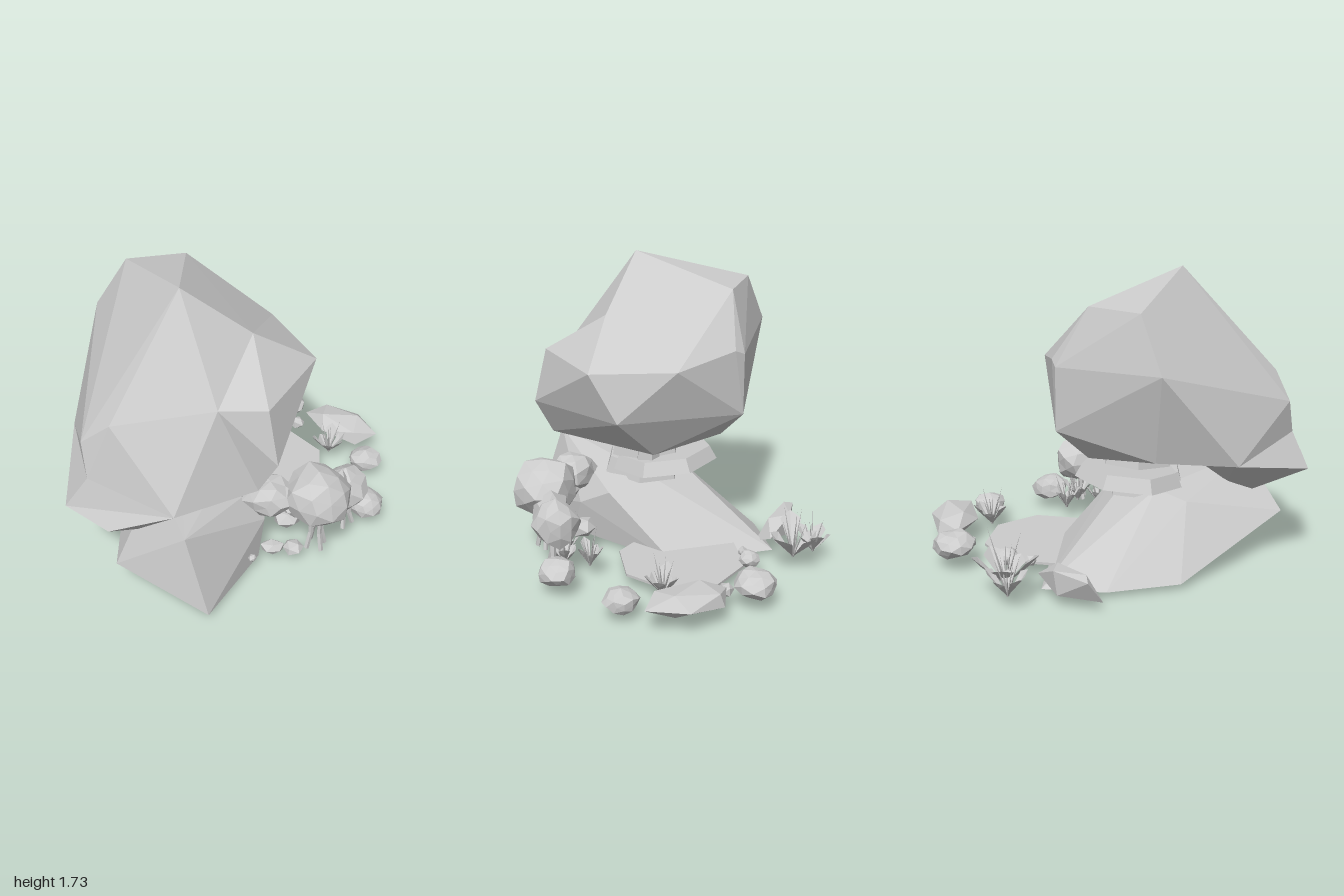
import * as THREE from 'three';
import { ConvexGeometry } from 'three/addons/geometries/ConvexGeometry.js';

const stone = new THREE.MeshStandardMaterial({ color: 0xcccccc, flatShading: true });
const leafy = new THREE.MeshStandardMaterial({ color: 0xcccccc, flatShading: true, side: THREE.DoubleSide });

export function createModel() {
  const root = new THREE.Group();
  const add = (name, geo, mat = stone, parent = root) => {
    const m = new THREE.Mesh(geo, mat);
    m.name = name;
    parent.add(m);
    return m;
  };
  const hull = pts => new ConvexGeometry(pts.map(p => new THREE.Vector3(...p)));

  // faceted lump: icosahedron whose corners are moved by a rule based on position
  const lump = (name, pos, size, seed, turn = 0, detail = 0) => {
    const g = new THREE.IcosahedronGeometry(detail ? 1 : 1.06, detail), p = g.attributes.position;
    const v = new THREE.Vector3();
    for (let i = 0; i < p.count; i++) {
      v.fromBufferAttribute(p, i);
      const k = 1 + 0.09 * Math.sin(v.x * 5.1 + v.y * 7.3 + v.z * 3.7 + seed * 2.4);
      p.setXYZ(i, v.x * k, v.y * k, v.z * k);
    }
    g.rotateY(seed);
    g.scale(...size);
    g.rotateY(turn);
    g.computeVertexNormals();
    add(name, g).position.set(...pos);
  };

  // great boulder: main mass, the lobe jutting to the front right, the lip at the front left
  const shared = [
    [0.115, 1.43, 0.27], [0.2, 1.21, -0.29], [-0.045, 1.19, 0.66],
    [0.17, 0.655, 0.645], [0.41, 0.915, -0.03]
  ];
  const lip = [[-0.735, 0.805, 0.78], [-0.91, 0.75, 0.23], [-0.26, 0.68, 0.925], [-0.35, 0.64, 0.1]];
  add('boulder', hull([
    ...shared, ...lip,
    [-0.265, 1.73, 0.335], [-0.63, 1.585, -0.22], [-0.3, 1.58, -0.32],
    [-0.815, 1.29, -0.22], [-0.135, 1.28, -0.45], [-0.6, 1.14, 0.76], [-0.765, 1.0, 0.72],
    [-0.2, 1.25, -0.47], [-0.2, 0.89, -0.47], [-0.25, 0.715, -0.29],
    [-0.68, 0.78, -0.15], [0.12, 0.65, -0.07]
  ]));
  add('boulderLobe', hull([
    ...shared, [0.46, 1.19, 0.13], [0.22, 1.19, 0.64], [0.275, 0.87, 0.69], [0, 0.9, 0.2]
  ]));
  add('boulderLip', hull([...lip, [-0.865, 0.615, 0.79]]));
  // keel hanging below the front of the boulder
  add('boulderKeel', hull([
    [-0.865, 0.615, 0.79], [-0.6, 0.62, 0.985], [-0.26, 0.68, 0.925], [-0.495, 0.395, 0.71],
    [-0.36, 0.42, 0.63], [-0.2, 0.66, 0.35], [-0.7, 0.68, 0.4]
  ]));

  // pedestal rock, undercut at its left front corner
  add('baseRock', hull([
    [-0.08, 0.035, 0.99], [0.17, 0.035, 0.5], [0.18, 0.035, -0.25], [-0.3, 0.035, -0.64],
    [-0.54, 0.035, -0.37], [-0.69, 0.035, 0.03],
    [-0.21, 0.505, 0.9], [-0.6, 0.26, 0.85], [0.2, 0.25, 0.42], [0.2, 0.37, 0.2],
    [-0.02, 0.47, 0.17], [-0.33, 0.47, 0.12], [-0.45, 0.4, 0.25]
  ]));

  // stacked slabs between pedestal and boulder: x, y, z, rx, height, rz, sides, tilt
  [
    [-0.16, 0.54, 0.05, 0.33, 0.08, 0.31, 7, 0.1],
    [-0.1, 0.62, 0.15, 0.2, 0.12, 0.23, 6, 0],
    [-0.13, 0.47, 0.2, 0.22, 0.1, 0.25, 6, -0.06],
    [0.03, 0.59, 0.04, 0.07, 0.11, 0.08, 5, 0]
  ].forEach(([x, y, z, rx, h, rz, n, tilt], i) => {
    const m = add('supportSlab' + (i + 1), new THREE.CylinderGeometry(0.88, 1, 1, n));
    m.scale.set(rx, h, rz);
    m.position.set(x, y, z);
    m.rotation.x = tilt;
  });

  // flat octagonal ground patch and small pads underneath
  const patch = add('groundPatch', new THREE.CylinderGeometry(0.37, 0.37, 0.015, 8));
  patch.rotation.y = Math.PI / 8;
  patch.position.set(0.18, 0.08, -0.31);
  [[-0.21, 0.018, 0.22, 0.09, 6], [-0.31, 0.026, 0.08, 0.07, 5], [-0.26, 0.03, 0.2, 0.17, 7]]
    .forEach(([x, y, z, r, n]) => {
      add('underPad', new THREE.CylinderGeometry(r, r, 0.036, n)).position.set(x, y, z);
    });

  // rounded crowns on the right, the two tall ones on bent stems
  [
    [[0.5, 0.465, 0.43], [0.2, 0.17, 0.19], 1, 4],
    [[0.23, 0.46, 0.45], [0.16, 0.105, 0.13], 2, 0],
    [[0.66, 0.345, 0.22], [0.13, 0.14, 0.14], 3, 4]
  ].forEach(([pos, size, seed, stems]) => {
    lump('crown', pos, size, seed, 0, 1);
    const [x, y, z] = pos;
    for (let k = 0; k < stems; k++) {
      const a = k * 1.6 + seed;
      const at = (r, h) => new THREE.Vector3(x + Math.cos(a) * r, h, z + Math.sin(a) * r);
      const path = new THREE.QuadraticBezierCurve3(at(0.06, 0.08), at(0.01, 0.2), at(0.05, y - 0.03));
      add('stem', new THREE.TubeGeometry(path, 3, 0.015, 5));
    }
  });
  lump('crownLobe', [0.6, 0.4, 0.31], [0.1, 0.12, 0.12], 4);
  lump('crownLobe', [0.36, 0.39, 0.42], [0.09, 0.07, 0.1], 5);

  // scattered stones: position, half sizes, turn, detail
  [
    [[0.8, 0.14, 0.1], [0.11, 0.08, 0.11], 0, 1],
    [[0.29, 0.15, -0.87], [0.12, 0.08, 0.12], 0, 1],
    [[0.81, 0.115, -0.35], [0.1, 0.065, 0.1], 0, 1],
    [[0.65, 0.155, -0.67], [0.25, 0.07, 0.14], -0.6, 0],
    [[0.02, 0.12, -0.67], [0.06, 0.05, 0.06], 0, 1],
    [[0.37, 0.1, -0.73], [0.05, 0.04, 0.04], 0, 0],
    [[-0.07, 0.1, -0.57], [0.03, 0.03, 0.03], 0, 0],
    [[0.25, 0.11, 0.5], [0.07, 0.04, 0.05], 0, 0],
    [[0.37, 0.1, 0.48], [0.06, 0.035, 0.06], 0, 0],
    [[0.14, 0.11, 0.6], [0.025, 0.02, 0.025], 0, 0],
    [[0.33, 0.17, 0.3], [0.08, 0.06, 0.08], 0, 0]
  ].forEach(([pos, size, turn, detail], i) => lump('stone', pos, size, i + 1, turn, detail));

  // flat split rock at the back right
  add('flatRock', hull([
    [-0.67, 0.06, -0.48], [-0.66, 0.19, -0.57], [-0.5, 0.06, -0.47], [-0.3, 0.06, -0.52],
    [-0.27, 0.12, -0.64], [-0.46, 0.21, -0.66], [-0.48, 0.07, -0.65], [-0.36, 0.2, -0.57],
    [-0.6, 0.21, -0.54]
  ]));

  // folded leaf: narrow foot, wide shoulder, pointed tip, raised along +x
  const leafGeo = (len, rise, width) => {
    const foot = [0, 0, 0], mid = [len * 0.7, rise * 0.65, 0], tip = [len, rise, 0];
    const l = [len * 0.75, rise * 0.85, width], r = [len * 0.75, rise * 0.85, -width];
    const g = new THREE.BufferGeometry();
    g.setAttribute('position', new THREE.Float32BufferAttribute(
      [foot, l, mid, foot, mid, r, mid, l, tip, mid, tip, r].flat(), 3));
    g.computeVertexNormals();
    return g;
  };

  // plants: x, y, z, spread, height, broad leaves
  [
    [-0.22, 0.08, -0.82, 0.17, 0.17, 5], [-0.35, 0.08, -0.88, 0.11, 0.13, 5],
    [0.58, 0.08, -0.46, 0.1, 0.12, 6], [0.55, 0.08, 0.07, 0.08, 0.12, 6],
    [0.62, 0.08, 0.2, 0.09, 0.12, 6], [0.5, 0.08, 0.28, 0.07, 0.1, 5]
  ].forEach(([x, y, z, spread, height, n], i) => {
    const plant = new THREE.Group();
    plant.name = 'plant' + (i + 1);
    plant.position.set(x, y, z);
    root.add(plant);
    for (let k = 0; k < n; k++) {
      const a = k / n * Math.PI * 2 + i * 0.7;
      const wob = 1 + 0.2 * Math.sin(k * 2.7 + i);
      add('leaf', leafGeo(spread * wob, height * wob, spread * 0.36), leafy, plant).rotation.y = a;
      // slim upright blade
      const blade = add('blade', new THREE.ConeGeometry(0.009, height * 1.7 * wob, 3), leafy, plant);
      blade.geometry.translate(0, height * 0.85 * wob, 0);
      blade.rotation.set(Math.sin(a) * 0.3, 0, Math.cos(a) * 0.3);
    }
  });

  return root;
}
